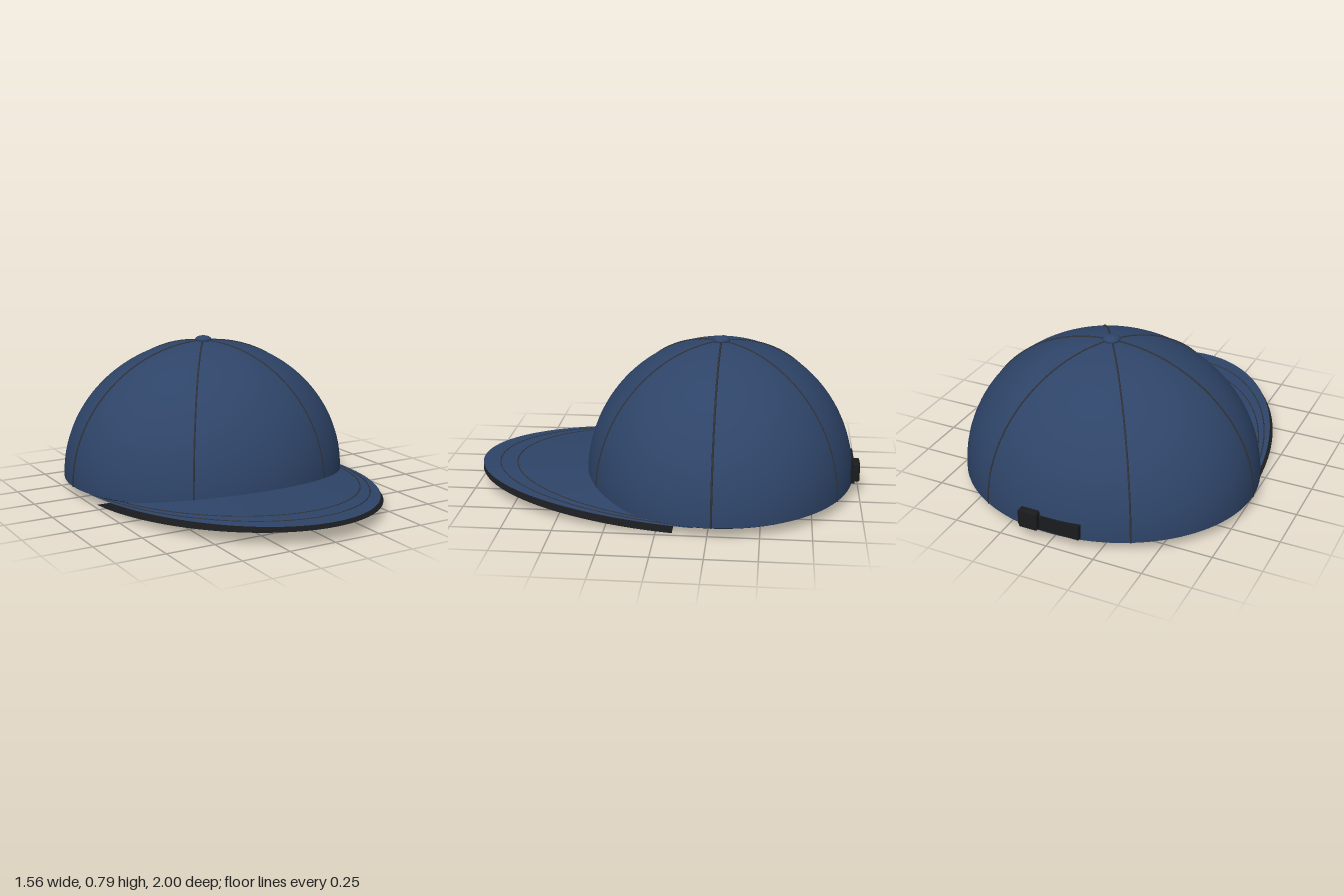
import * as THREE from 'three';
import { RoundedBoxGeometry } from 'three/addons/geometries/RoundedBoxGeometry.js';

const CZ = -0.27, RX = 0.775, RZ = 0.7, BASE = 0.055, H = 0.71;

export function createModel() {
  const cap = new THREE.Group();
  cap.name = 'cap';
  const mat = (color, side = THREE.FrontSide) => new THREE.MeshStandardMaterial({ color, side });
  const cloth = mat(0x2e4468, THREE.DoubleSide);
  const dark = mat(0x1a1b1e, THREE.DoubleSide);
  const thread = mat(0x303238);

  const add = (name, geometry, material, x = 0, y = 0, z = 0) => {
    const mesh = new THREE.Mesh(geometry, material);
    mesh.name = name;
    mesh.position.set(x, y, z);
    cap.add(mesh);
    return mesh;
  };
  const tube = (name, points, radius, material) =>
    add(name, new THREE.TubeGeometry(new THREE.CatmullRomCurve3(points), 64, radius, 6), material);

  // Crown: open half ellipsoid
  const dome = new THREE.SphereGeometry(1, 96, 40, 0, Math.PI * 2, 0, Math.PI / 2);
  add('crown', dome.scale(RX, H, RZ), cloth, 0, BASE, CZ);

  // Six panel seams running from the rim to the button
  for (let i = 0; i < 6; i++) {
    const a = (i * Math.PI) / 3;
    const points = [];
    for (let j = 0; j <= 20; j++) {
      const t = (j / 20) * (Math.PI / 2 - 0.05);
      points.push(new THREE.Vector3(
        RX * Math.cos(a) * Math.cos(t), BASE + H * Math.sin(t), CZ + RZ * Math.sin(a) * Math.cos(t)));
    }
    tube('panelSeam', points, 0.005, thread);
  }

  // Button on top
  add('button', new THREE.SphereGeometry(1, 32, 16).scale(0.044, 0.021, 0.044), cloth, 0, 0.77, CZ);

  // Sweatband: flattened ring inside the rim
  const band = new THREE.TorusGeometry(0.965, 0.03, 12, 96).rotateX(Math.PI / 2);
  add('sweatband', band.scale(RX, 0.5, RZ), dark, 0, 0.06, CZ);

  // Brim: arched crescent, u runs round the edge and v from the crown outwards
  const brimPoint = (u, v, tipZ, tipY, rise) => {
    const a = u * Math.PI, s = Math.sin(a);
    const reach = THREE.MathUtils.lerp(0.4, 1, v) - tipZ;
    return new THREE.Vector3(
      THREE.MathUtils.lerp(0.6, 0.725, v) * Math.cos(a), tipY + rise * s, tipZ + reach * s);
  };
  const brimSheet = (name, material, up, ...form) => {
    const geometry = new THREE.PlaneGeometry(1, 1, 80, 8);
    const pos = geometry.attributes.position;
    for (let i = 0; i < pos.count; i++) {
      const u = pos.getX(i) + 0.5, v = pos.getY(i) + 0.5;
      const p = brimPoint(up ? 1 - u : u, v, ...form);
      pos.setXYZ(i, p.x, p.y, p.z);
    }
    // Both sheets keep their outer face on the cloth side
    if (up) {
      const index = geometry.index.array;
      for (let i = 0; i < index.length; i += 3) {
        [index[i], index[i + 1]] = [index[i + 1], index[i]];
      }
    } else {
      const index = geometry.index.array;
      for (let i = 0; i < index.length; i += 3) {
        [index[i], index[i + 1]] = [index[i + 1], index[i]];
      }
    }
    geometry.computeVertexNormals();
    add(name, geometry, material);
  };
  const topForm = [-0.18, 0.03, 0.07];
  brimSheet('brimTop', cloth, true, ...topForm);
  brimSheet('brimUnderside', dark, false, -0.08, 0, 0.075);

  // Two rows of stitching on the brim
  for (const v of [0.69, 0.845]) {
    const points = [];
    for (let i = 0; i <= 40; i++) points.push(brimPoint(i / 40, v, ...topForm));
    tube('brimStitching', points, 0.003, thread);
  }

  // Rear strap with its buckle
  add('strap', new THREE.BoxGeometry(0.325, 0.075, 0.03), dark, 0, 0.102, -0.96);
  add('buckle', new RoundedBoxGeometry(0.1, 0.1, 0.04, 3, 0.01), dark, 0.097, 0.117, -0.98);
  return cap;
}
